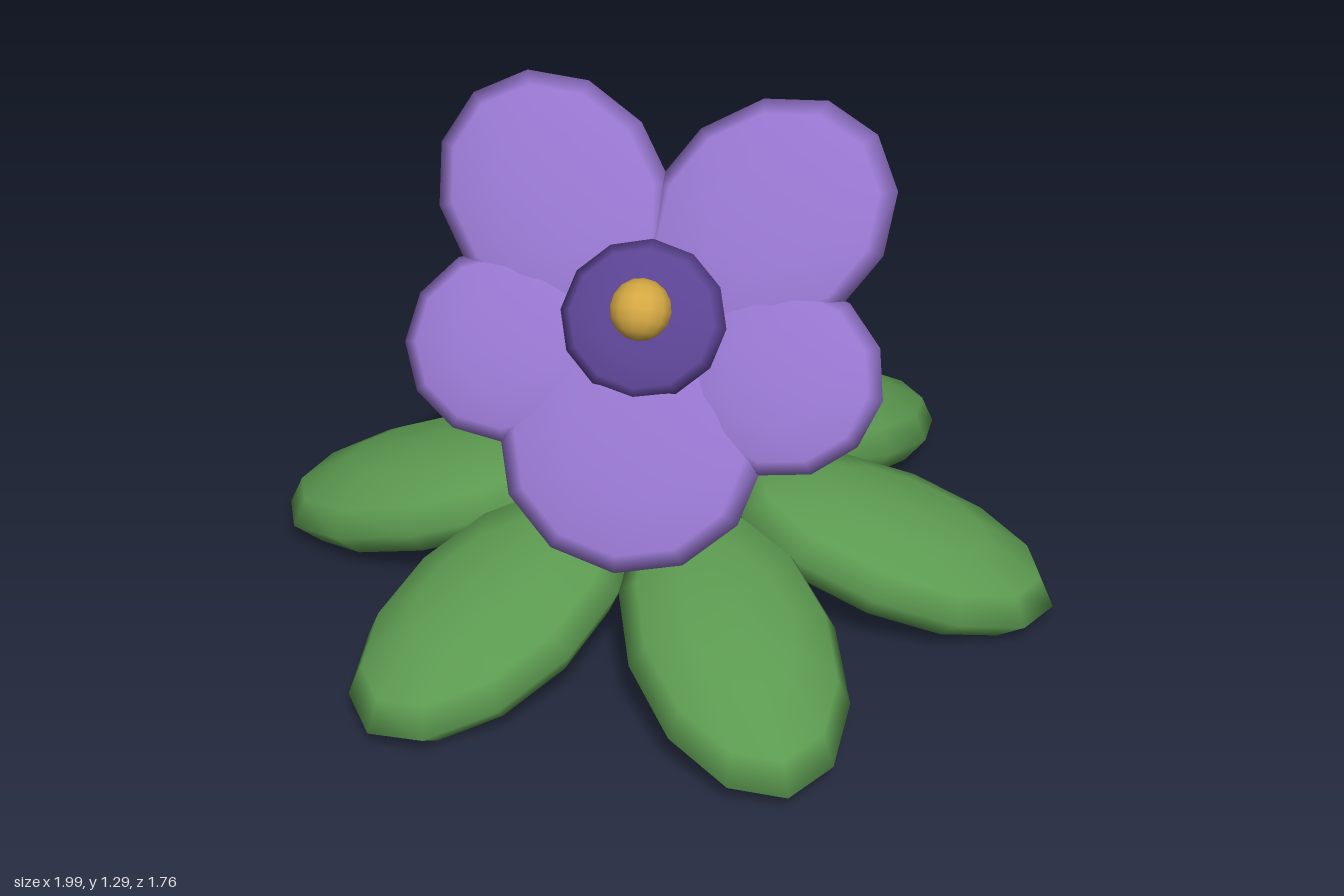
import * as THREE from 'three';

const mat = (name, color) => {
  const m = new THREE.MeshStandardMaterial({ color });
  m.name = name;
  return m;
};

// Flattened ellipsoid lying in the XZ plane, thin along y
const pad = (length, thickness, width) =>
  new THREE.SphereGeometry(1, 12, 6).scale(length, thickness, width);

export function createModel() {
  const leafGreen = mat('leaf green', 0x5c9a50);
  const petalPurple = mat('petal purple', 0x9575cd);
  const deepPurple = mat('deep purple', 0x5a4392);
  const pollenGold = mat('pollen gold', 0xd4a843);

  const model = new THREE.Group();
  model.name = 'flowerPlant';
  const add = (parent, name, geometry, material) => {
    const mesh = new THREE.Mesh(geometry, material);
    mesh.name = name;
    parent.add(mesh);
    return mesh;
  };

  // Rosette of six drooping leaves
  const rosette = new THREE.Group();
  rosette.name = 'leafRosette';
  model.add(rosette);
  const leafShape = pad(0.43, 0.13, 0.255).rotateZ(-0.3).translate(0.585, 0.174, 0);
  for (let i = 0; i < 6; i++) {
    add(rosette, 'leaf', leafShape, leafGreen).rotation.y = (i * Math.PI) / 3;
  }

  // Flower head, built facing +z and then leaned back
  const flower = new THREE.Group();
  flower.name = 'flowerHead';
  flower.position.set(0, 0.84, 0.143);
  flower.rotation.x = -0.583;
  model.add(flower);

  const petal = (name, x, y, length, width, angle) => {
    const mesh = add(flower, name, pad(length, 0.05, width).rotateX(Math.PI / 2), petalPurple);
    mesh.position.set(x, y, 0);
    mesh.rotation.z = angle;
  };
  for (const side of [1, -1]) {
    petal('upperPetal', side * 0.26, 0.25, 0.32, 0.27, side * 0.77);
    petal('sidePetal', side * 0.33, -0.115, 0.25, 0.235, side * -0.1);
  }
  petal('lowerPetal', 0, -0.32, 0.32, 0.3, 0);

  // Dark throat and the pollen ball in its middle
  const throat = add(flower, 'throat', pad(0.2, 0.04, 0.19).rotateX(Math.PI / 2), deepPurple);
  throat.position.set(0, -0.02, 0.04);
  const ball = add(flower, 'pollenBall', new THREE.SphereGeometry(0.074, 12, 8), pollenGold);
  ball.position.set(0, 0, 0.082);

  return model;
}
